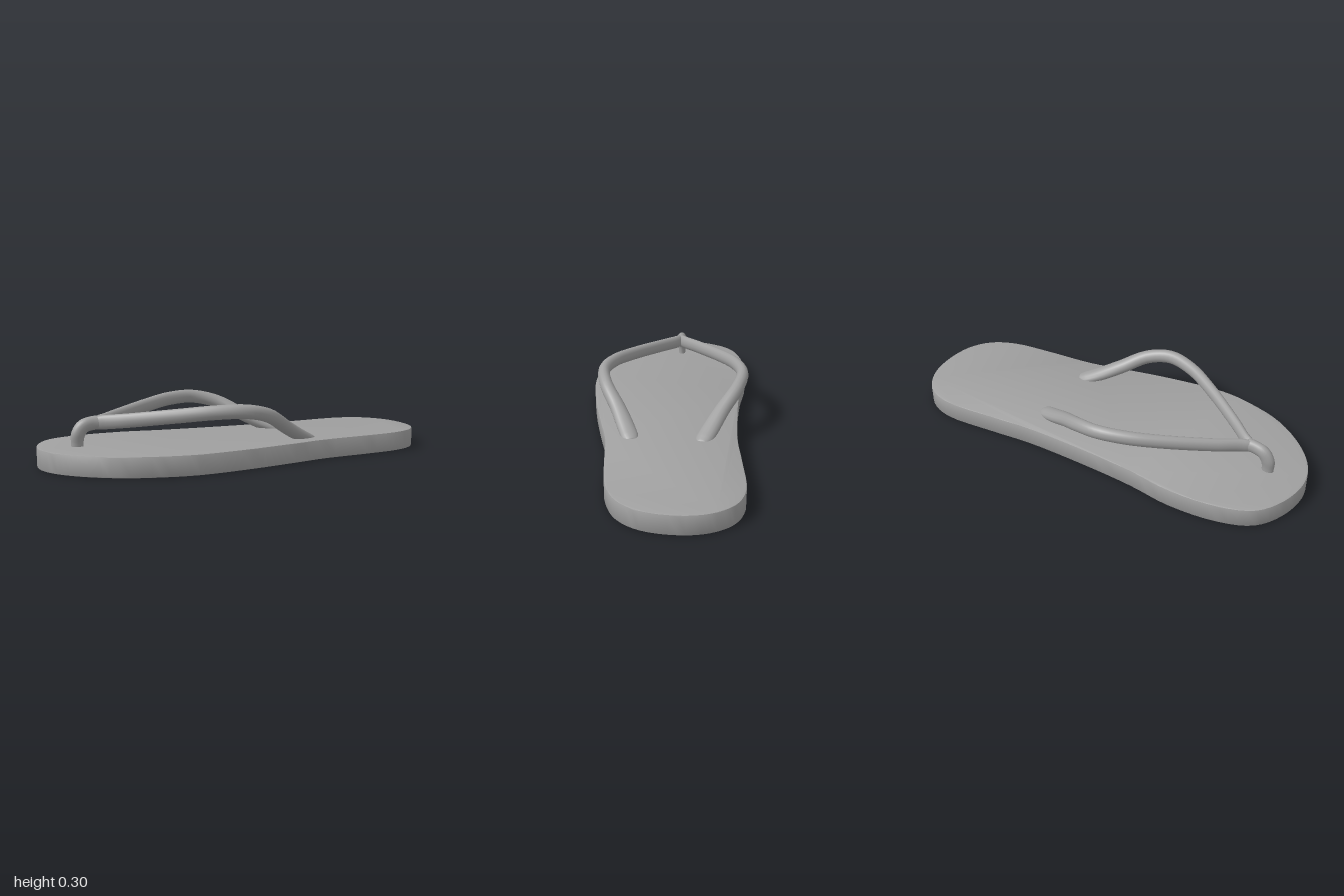
import * as THREE from 'three';
import { toCreasedNormals } from 'three/addons/utils/BufferGeometryUtils.js';

const MID_Z = -0.03; // the strap's line of symmetry
const SIDES = 14;

// Sweeps an ellipse along a path. Each row: x, y, z, half width, half height.
function sweep(rows, steps, fixedSide) {
  const path = new THREE.CatmullRomCurve3(rows.map(r => new THREE.Vector3(r[0], r[1], r[2])));
  const radii = new THREE.CatmullRomCurve3(rows.map(r => new THREE.Vector3(r[3], r[4], 0)));
  const up = new THREE.Vector3(0, 1, 0);
  const positions = [], index = [];
  for (let i = 0; i <= steps; i++) {
    const t = i / steps;
    const p = path.getPoint(t), r = radii.getPoint(t), dir = path.getTangent(t);
    const side = fixedSide ? fixedSide.clone() : dir.clone().cross(up).normalize();
    const top = side.clone().cross(dir).normalize();
    for (let j = 0; j < SIDES; j++) {
      const a = (j / SIDES) * Math.PI * 2;
      const v = p.clone()
        .addScaledVector(side, Math.cos(a) * Math.max(r.x, 0.001))
        .addScaledVector(top, Math.sin(a) * Math.max(r.y, 0.001));
      positions.push(v.x, v.y, v.z);
      if (i < steps) {
        const k = (j + 1) % SIDES, n = i * SIDES;
        index.push(n + j, n + SIDES + j, n + k, n + k, n + SIDES + j, n + SIDES + k);
      }
    }
  }
  const geo = new THREE.BufferGeometry();
  geo.setAttribute('position', new THREE.Float32BufferAttribute(positions, 3));
  geo.setIndex(index);
  geo.computeVertexNormals();
  return geo;
}

export function createModel() {
  const group = new THREE.Group();
  const rubber = new THREE.MeshStandardMaterial({ color: 0xa0a0a0 });
  rubber.name = 'greyRubber';
  const add = (name, geo) => {
    const mesh = new THREE.Mesh(geo, rubber);
    mesh.name = name;
    group.add(mesh);
  };

  // Sole: asymmetric foot outline (x, z), toe at -x, heel at +x
  const outline = [
    [-1, -0.03], [-0.97, -0.18], [-0.89, -0.3], [-0.74, -0.365], [-0.5, -0.39], [-0.28, -0.367],
    [0, -0.358], [0.3, -0.363], [0.5, -0.385], [0.78, -0.405], [0.9, -0.36], [0.975, -0.26],
    [1, -0.13], [0.975, 0.03], [0.9, 0.135], [0.78, 0.195], [0.6, 0.225], [0.33, 0.257],
    [0.15, 0.302], [-0.1, 0.36], [-0.38, 0.4], [-0.55, 0.38], [-0.72, 0.325], [-0.88, 0.21], [-0.97, 0.09],
  ];
  const curve = new THREE.CatmullRomCurve3(outline.map(([x, z]) => new THREE.Vector3(x, z, 0)), true);
  const shape = new THREE.Shape(curve.getPoints(100).slice(0, -1).map(p => new THREE.Vector2(p.x, p.y)));
  const bevel = 0.005;
  const sole = new THREE.ExtrudeGeometry(shape, {
    depth: 0.095 - 2 * bevel, bevelEnabled: true, bevelThickness: bevel,
    bevelSize: bevel, bevelOffset: -bevel, bevelSegments: 2,
  });
  sole.rotateX(Math.PI / 2);
  sole.translate(0, 0.095 - bevel, 0);
  add('sole', toCreasedNormals(sole, 0.5));

  // Side straps: from the toe post, over the instep, down to a flared foot
  const strap = [
    [-0.745, 0.2, 0, 0.012, 0.025],
    [-0.7, 0.203, 0.016, 0.021, 0.034],
    [-0.6, 0.215, 0.092, 0.023, 0.034],
    [-0.4, 0.242, 0.228, 0.026, 0.034],
    [-0.25, 0.259, 0.31, 0.028, 0.034],
    [-0.11, 0.26, 0.346, 0.029, 0.034],
    [0.01, 0.232, 0.32, 0.032, 0.034],
    [0.13, 0.166, 0.25, 0.038, 0.033],
    [0.22, 0.118, 0.205, 0.043, 0.031],
    [0.285, 0.09, 0.176, 0.043, 0.027],
    [0.318, 0.08, 0.164, 0.032, 0.02],
    [0.331, 0.077, 0.16, 0.001, 0.001],
  ];
  for (const [name, s] of [['nearStrap', 1], ['farStrap', -1]]) {
    add(name, sweep(strap.map(([x, y, z, w, h]) => [x, y, MID_Z + s * z, w, h]), 55));
  }

  // Toe post: rises from the sole and bends back into the straps
  add('toePost', sweep([
    [-0.818, 0.07, MID_Z, 0.018, 0.028],
    [-0.819, 0.11, MID_Z, 0.019, 0.029],
    [-0.815, 0.15, MID_Z, 0.024, 0.033],
    [-0.79, 0.187, MID_Z, 0.026, 0.033],
    [-0.745, 0.2, MID_Z, 0.024, 0.033],
    [-0.71, 0.202, MID_Z, 0.028, 0.032],
    [-0.695, 0.203, MID_Z, 0.001, 0.001],
  ], 30, new THREE.Vector3(0, 0, 1)));

  return group;
}
